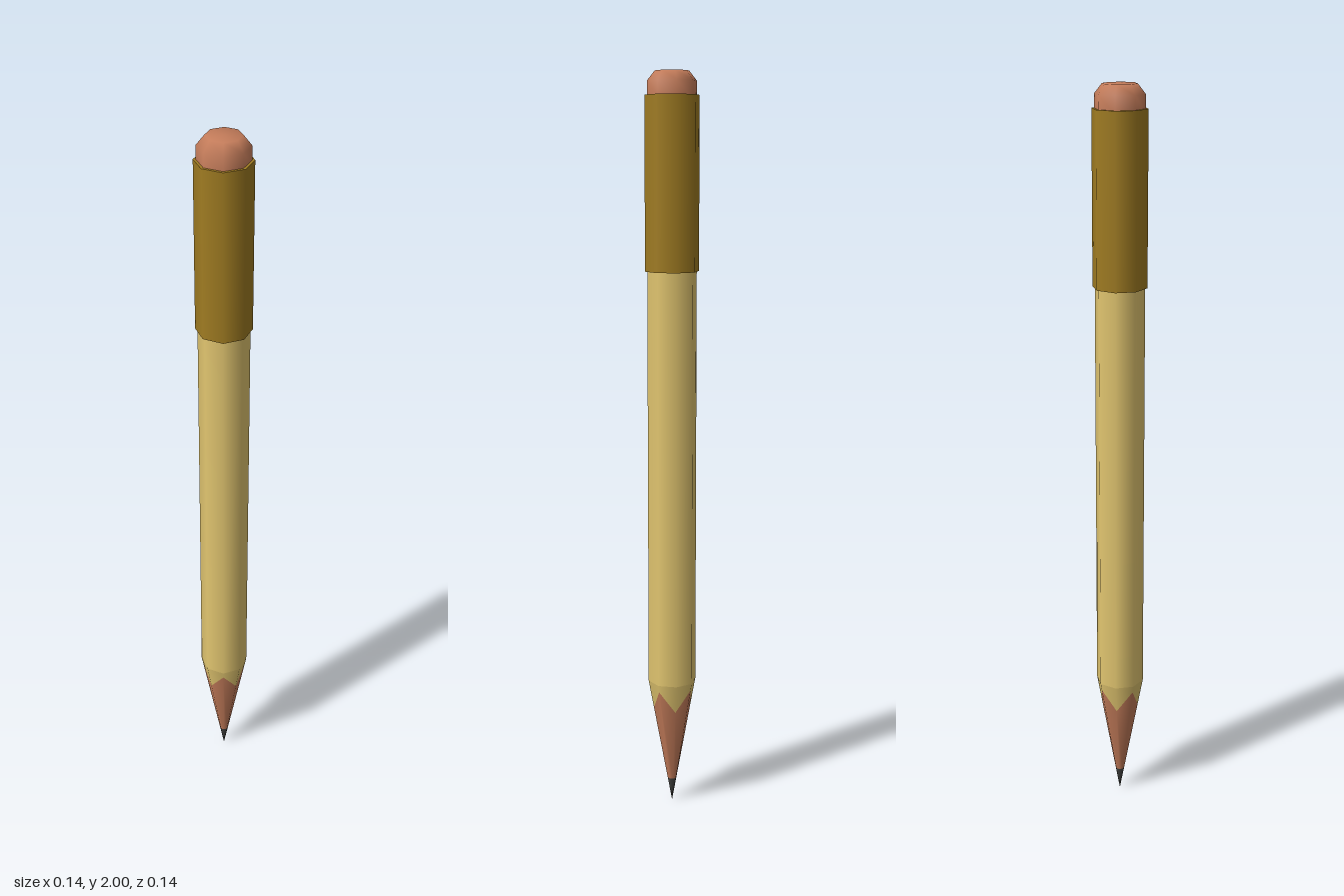
import * as THREE from 'three';

const SIDES = 8;
const BODY_R = 0.066;
const TAPER_TOP = 0.36;

const mat = (name, color) => {
  const m = new THREE.MeshStandardMaterial({ color });
  m.name = name;
  return m;
};

// Band of the sharpened cone between two edges whose height depends on the corner
function taperBand(lower, upper) {
  const pos = [], nor = [], idx = [];
  const slope = BODY_R / TAPER_TOP;
  for (let i = 0; i <= SIDES; i++) {
    const a = (i / SIDES) * Math.PI * 2;
    const n = new THREE.Vector3(Math.sin(a), -slope, Math.cos(a)).normalize();
    for (const y of [lower(i), upper(i)]) {
      pos.push(Math.sin(a) * y * slope, y, Math.cos(a) * y * slope);
      nor.push(n.x, n.y, n.z);
    }
    if (i < SIDES) {
      const k = i * 2;
      idx.push(k, k + 2, k + 1, k + 2, k + 3, k + 1);
    }
  }
  const g = new THREE.BufferGeometry();
  g.setAttribute('position', new THREE.Float32BufferAttribute(pos, 3));
  g.setAttribute('normal', new THREE.Float32BufferAttribute(nor, 3));
  g.setIndex(idx);
  return g;
}

export function createModel() {
  const group = new THREE.Group();
  group.name = 'pencil';
  const paint = mat('yellow paint', 0xe2c670);
  const brass = mat('brass', 0xa07c22);
  const wood = mat('pink wood', 0xc47c5a);
  const lead = mat('graphite', 0x40403e);

  const add = (name, geometry, material) => {
    const mesh = new THREE.Mesh(geometry, material);
    mesh.name = name;
    group.add(mesh);
    return mesh;
  };
  const tube = (r, y0, y1, open) =>
    new THREE.CylinderGeometry(r, r, y1 - y0, SIDES, 1, open).translate(0, (y0 + y1) / 2, 0);

  // Sharpened end: lead, bare wood and the scalloped edge of the paint
  const leadTop = () => 0.068;
  const scallop = (i) => (i % 2 ? 0.28 : 0.34);
  add('leadTip', taperBand(() => 0.002, leadTop), lead);
  add('sharpenedWood', taperBand(leadTop, scallop), wood);
  add('paintedTaper', taperBand(scallop, () => TAPER_TOP), paint);

  // Shaft and metal ferrule
  add('shaft', tube(BODY_R, TAPER_TOP, 1.5, true), paint);
  add('ferrule', tube(0.072, 1.49, 1.94, false), brass);

  // Rubber with a bevelled top
  const profile = [[0.065, 1.93], [0.065, 1.975], [0.045, 2], [0, 2]]
    .map(([x, y]) => new THREE.Vector2(x, y));
  add('eraser', new THREE.LatheGeometry(profile, SIDES), wood);

  return group;
}
